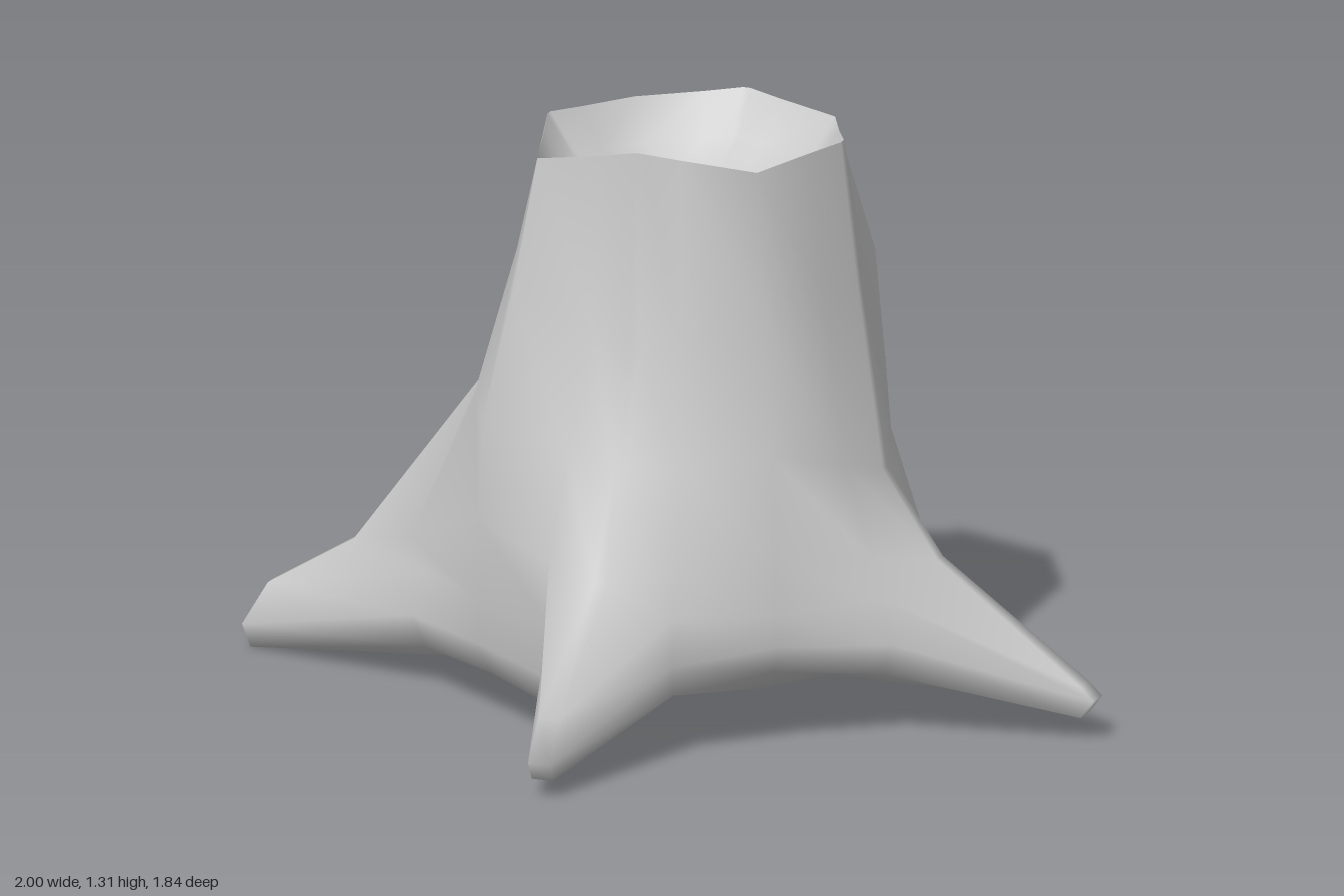
import * as THREE from 'three';

const CX = 0.05, CZ = 0.02; // trunk axis

// Profiles as [radius, height], from the rim down and under to the base
const ROOTS = [
  [[0.35, 1.29], [0.39, 0.97], [0.45, 0.56], [0.58, 0.37], [0.92, 0.12], [0.95, 0.09], [0.92, 0.05], [0.85, 0.08]],  // +x
  [[0.32, 1.31], [0.34, 0.88], [0.43, 0.62], [0.54, 0.39], [0.84, 0.17], [0.9, 0.08], [0.88, 0.04], [0.8, 0.07]],    // +z
  [[0.34, 1.28], [0.41, 0.97], [0.5, 0.66], [0.79, 0.27], [0.99, 0.15], [1.05, 0.05], [1.03, 0.0], [0.95, 0.04]],    // -x
  [[0.31, 1.29], [0.35, 0.95], [0.4, 0.67], [0.57, 0.36], [0.87, 0.18], [0.94, 0.08], [0.9, 0.04], [0.82, 0.07]],    // -z
];
// Valley after each root; the trunk bulges unevenly between them
const VALLEYS = [
  [[0.355, 1.275], [0.4, 0.94], [0.44, 0.65], [0.465, 0.43], [0.475, 0.3], [0.475, 0.23], [0.455, 0.17], [0.34, 0.1]], // +x +z
  [[0.37, 1.255], [0.43, 0.95], [0.5, 0.67], [0.51, 0.45], [0.51, 0.27], [0.51, 0.17], [0.48, 0.1], [0.36, 0.07]],     // -x +z
  [[0.33, 1.265], [0.39, 0.94], [0.44, 0.66], [0.48, 0.43], [0.5, 0.27], [0.52, 0.17], [0.49, 0.1], [0.34, 0.07]],     // -x -z
  [[0.335, 1.27], [0.43, 0.96], [0.455, 0.7], [0.455, 0.46], [0.475, 0.28], [0.49, 0.17], [0.46, 0.1], [0.34, 0.07]],  // +x -z
];
const LIFTS = [0.05, 0, 0, 0]; // raised lip beside a valley
const FLANK = [[0.54, 0.26], [0.575, 0.16], [0.55, 0.09], [0.42, 0.07]]; // lower root flank
const SPREADS = [0.97, 0.92, 1.07, 0.96]; // flank reach of each root
const RINGS = 8, FLANK_ANGLE = 17;
const rad = THREE.MathUtils.degToRad;

// Flank: about the straight line from root to valley above, then the lower flank
function flankProfile(root, valley, lift, spread) {
  const s1 = Math.sin(rad(FLANK_ANGLE)), s2 = Math.sin(rad(45 - FLANK_ANGLE));
  const upper = [1, 1.01, 1.03, 1.02].map((bulge, j) => {
    const [r1, y1] = root[j], [r2, y2] = valley[j];
    const r = bulge * r1 * r2 * Math.SQRT1_2 / (r1 * s1 + r2 * s2);
    return [r, THREE.MathUtils.lerp(y1, y2, FLANK_ANGLE / 45)];
  });
  return [...upper, ...FLANK.map(([r, y]) => [r * spread, y + lift])];
}

// Columns around the trunk: a narrow root ridge, its flanks and the valley
function makeColumns() {
  const columns = [];
  ROOTS.forEach((root, k) => {
    const before = (k + 3) % 4;
    const add = (degrees, profile) => columns.push({ angle: rad(k * 90 + degrees), profile });
    add(-FLANK_ANGLE, flankProfile(root, VALLEYS[before], LIFTS[before], SPREADS[k]));
    add(-1.6, root);
    add(1.6, root);
    add(FLANK_ANGLE, flankProfile(root, VALLEYS[k], LIFTS[k], SPREADS[k]));
    add(45, VALLEYS[k]);
  });
  return columns;
}

// Skin rings of points, closing the last ring onto a centre point
function skin(columns, ringCount, pointAt, centreY, flip) {
  const n = columns.length, positions = [], index = [];
  for (let j = 0; j < ringCount; j++) {
    for (const column of columns) {
      const [r, y] = pointAt(column, j);
      positions.push(CX + r * Math.cos(column.angle), y, CZ + r * Math.sin(column.angle));
    }
  }
  positions.push(CX, centreY, CZ);
  const tri = (a, b, c) => (flip ? index.push(a, c, b) : index.push(a, b, c));
  for (let i = 0; i < n; i++) {
    const next = (i + 1) % n;
    for (let j = 0; j < ringCount - 1; j++) {
      const a = j * n + i, b = j * n + next;
      tri(a, b, a + n);
      tri(b, b + n, a + n);
    }
    const last = (ringCount - 1) * n;
    tri(last + i, last + next, ringCount * n);
  }
  const geometry = new THREE.BufferGeometry();
  geometry.setAttribute('position', new THREE.Float32BufferAttribute(positions, 3));
  geometry.setIndex(index);
  geometry.computeVertexNormals();
  return geometry;
}

export function createModel() {
  const group = new THREE.Group();
  group.name = 'treeStump';
  const material = new THREE.MeshStandardMaterial({ color: 0xcccccc, side: THREE.DoubleSide });
  const columns = makeColumns();

  // Bark, spreading roots and underside
  const bark = new THREE.Mesh(
    skin(columns, RINGS, (c, j) => c.profile[j], 0.08, false), material);
  bark.name = 'trunkAndRoots';
  group.add(bark);

  // Hollow top: a shallow bowl that starts at the thin rim
  const bowl = [[1, 0], [0.82, 0.09], [0.45, 0.16]];
  const hollow = new THREE.Mesh(
    skin(columns, bowl.length, (c, j) => {
      const [r, y] = c.profile[0];
      return [r * bowl[j][0], y - bowl[j][1]];
    }, 1.11, true), material);
  hollow.name = 'hollowTop';
  group.add(hollow);

  return group;
}
